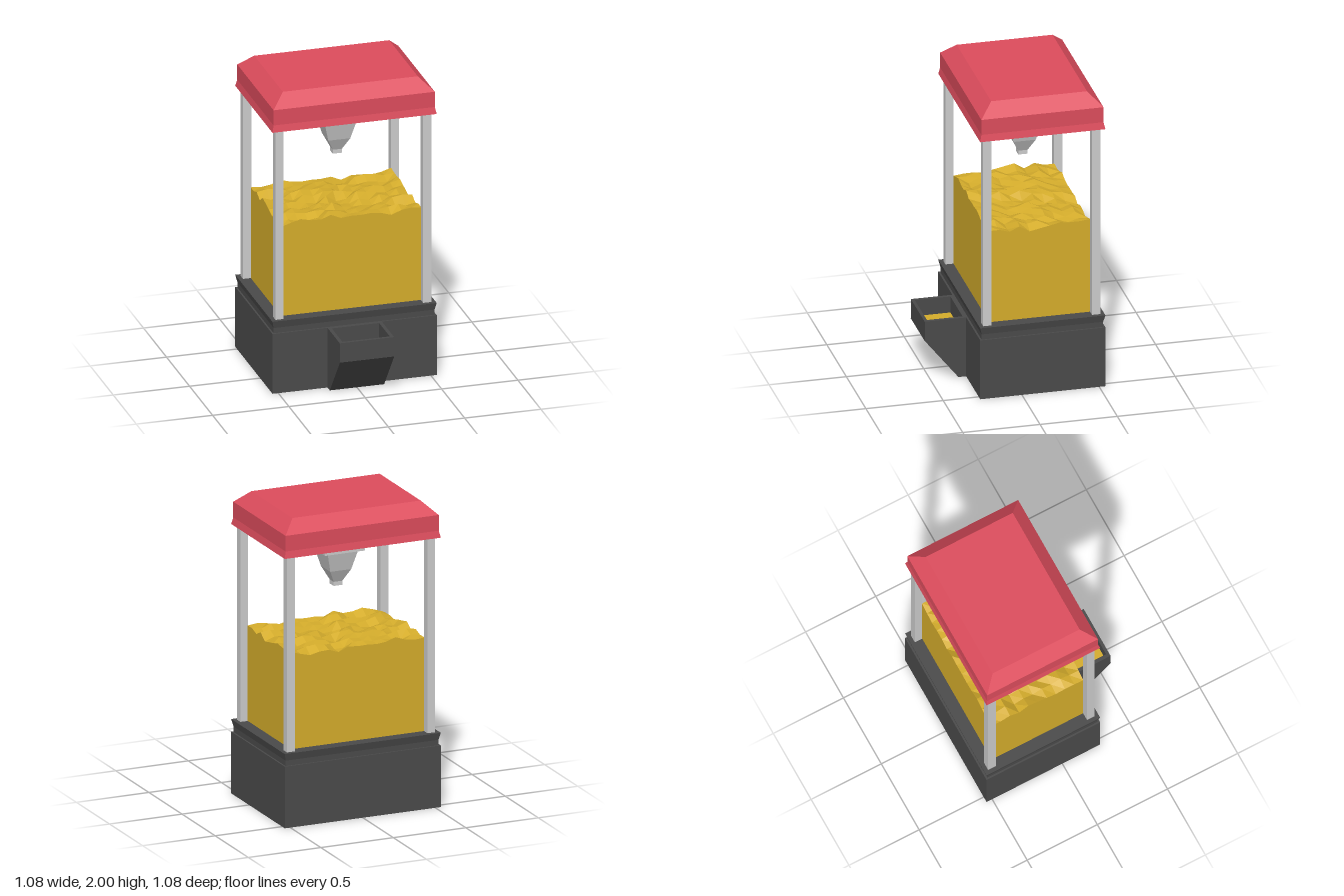
import * as THREE from 'three';

const mat = (color, extra = {}) => new THREE.MeshStandardMaterial({ color, flatShading: true, ...extra });

// Stacked rectangular cross-sections [y, halfX, halfZ], capped at both ends
function loft(rings) {
  const pos = [];
  const corners = ([y, x, z]) => [[-x, y, z], [x, y, z], [x, y, -z], [-x, y, -z]];
  const quad = (a, b, c, d) => pos.push(...a, ...b, ...c, ...a, ...c, ...d);
  for (let i = 0; i < rings.length - 1; i++) {
    const lo = corners(rings[i]), hi = corners(rings[i + 1]);
    for (let k = 0; k < 4; k++) {
      const n = (k + 1) % 4;
      quad(lo[k], lo[n], hi[n], hi[k]);
    }
  }
  const [a, b, c, d] = corners(rings[0]);
  quad(d, c, b, a);
  quad(...corners(rings[rings.length - 1]));
  const g = new THREE.BufferGeometry();
  g.setAttribute('position', new THREE.Float32BufferAttribute(pos, 3));
  g.computeVertexNormals();
  return g;
}

// Repeatable noise in 0..1 from a grid position
function noise(x, z) {
  const s = Math.sin(Math.round(x * 100) * 12.9898 + Math.round(z * 100) * 78.233) * 43758.5453;
  return s - Math.floor(s);
}

export function createModel() {
  const model = new THREE.Group();
  model.name = 'clawMachine';
  const dark = mat(0x4a4a4a), red = mat(0xdc4c5c), gold = mat(0xd4ac2b), grey = mat(0xcccccc);

  const add = (parent, name, geometry, material, x = 0, y = 0, z = 0) => {
    const m = new THREE.Mesh(geometry, material);
    m.name = name;
    m.position.set(x, y, z);
    parent.add(m);
    return m;
  };

  // Cabinet, set back so that the tray reaches forward
  const cabinet = new THREE.Group();
  cabinet.name = 'cabinet';
  cabinet.position.z = -0.135;
  model.add(cabinet);

  add(cabinet, 'base', new THREE.BoxGeometry(1.076, 0.405, 0.81), dark, 0, 0.2025, 0);
  add(cabinet, 'baseTrim', loft([[0.405, 0.527, 0.393], [0.44, 0.527, 0.393], [0.488, 0.538, 0.405]]), dark);
  add(cabinet, 'roof', loft([
    [1.77, 0.538, 0.405], [1.815, 0.528, 0.395], [1.918, 0.528, 0.395], [2, 0.442, 0.31],
  ]), red);

  // Corner posts
  for (const x of [-1, 1]) for (const z of [-1, 1]) {
    add(cabinet, 'cornerPost', new THREE.BoxGeometry(0.054, 1.29, 0.054), grey, x * 0.484, 1.13, z * 0.352);
  }

  // Heap of contents with an uneven top
  const heap = new THREE.BoxGeometry(0.92, 0.62, 0.654, 14, 1, 10);
  const p = heap.attributes.position;
  for (let i = 0; i < p.count; i++) {
    if (p.getY(i) > 0) p.setY(i, 0.31 - 0.025 + 0.052 * noise(p.getX(i), p.getZ(i)));
  }
  heap.computeVertexNormals();
  add(cabinet, 'contentsHeap', heap, gold, 0, 0.798, 0);

  // Claw hanging from the roof
  add(cabinet, 'clawHousing', new THREE.BoxGeometry(0.276, 0.11, 0.276), grey, 0, 1.717, 0);
  add(cabinet, 'claw', loft([
    [1.42, 0.03, 0.03], [1.447, 0.03, 0.03], [1.53, 0.072, 0.072], [1.662, 0.106, 0.106],
  ]), grey);

  // Prize tray: sloped underside, open rim and contents inside
  const tray = new THREE.Group();
  tray.name = 'prizeTray';
  model.add(tray);

  const side = new THREE.Shape([[-0.27, 0], [-0.32, 0], [-0.54, 0.275], [-0.27, 0.275]]
    .map(([z, y]) => new THREE.Vector2(z, y)));
  const wedge = new THREE.ExtrudeGeometry(side, { depth: 0.356, bevelEnabled: false });
  wedge.translate(0, 0, -0.178).rotateY(Math.PI / 2);
  add(tray, 'trayUnderside', wedge, dark);

  const rect = (C, x, z0, z1) => new C([[-x, -z1], [x, -z1], [x, -z0], [-x, -z0]]
    .map(([a, b]) => new THREE.Vector2(a, b)));
  const rim = rect(THREE.Shape, 0.178, 0.27, 0.538);
  rim.holes.push(rect(THREE.Path, 0.155, 0.288, 0.518));
  const rimGeometry = new THREE.ExtrudeGeometry(rim, { depth: 0.132, bevelEnabled: false });
  rimGeometry.rotateX(-Math.PI / 2);
  add(tray, 'trayRim', rimGeometry, dark, 0, 0.273, 0);
  add(tray, 'trayContents', new THREE.BoxGeometry(0.31, 0.02, 0.23), gold, 0, 0.285, 0.403);

  return model;
}
